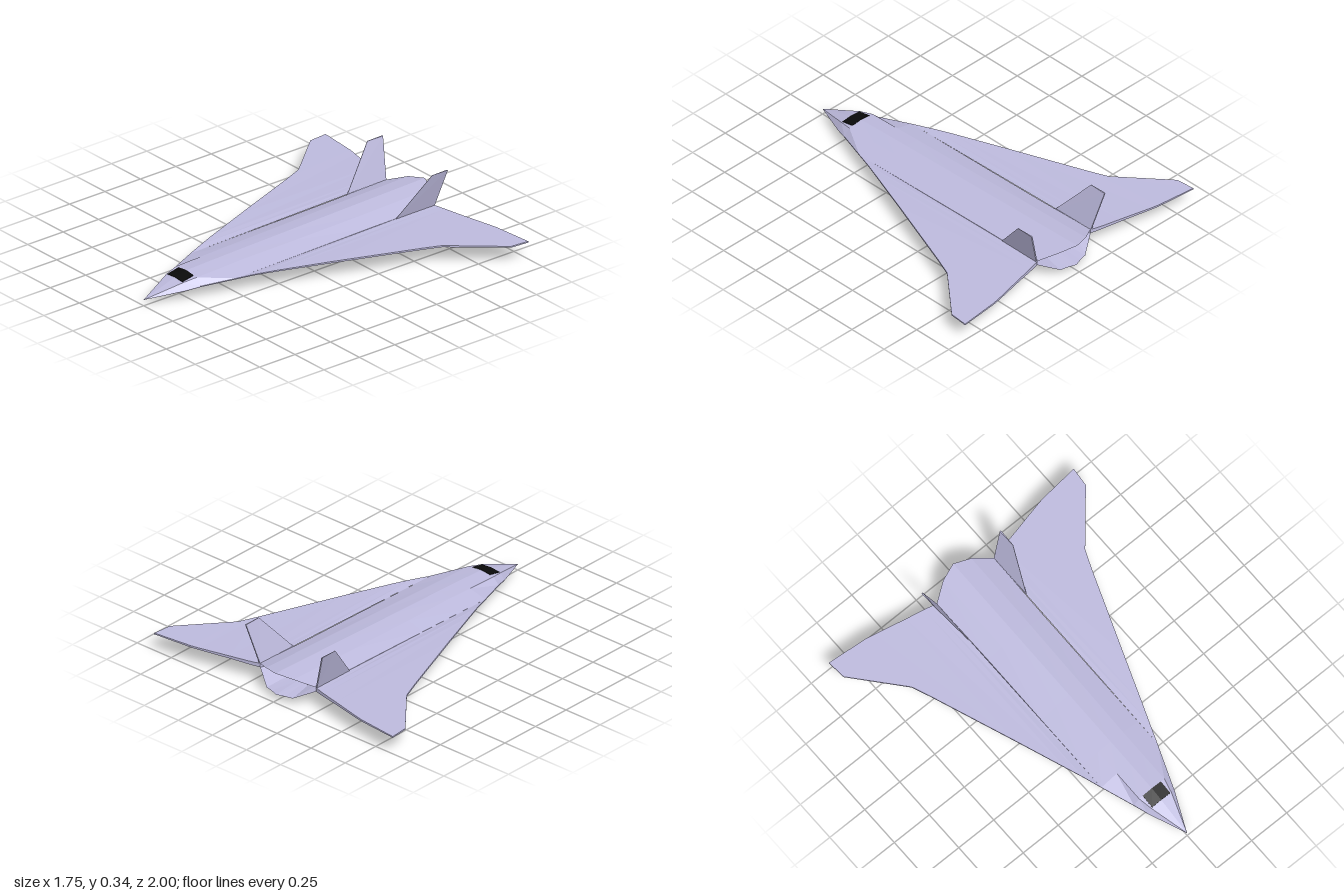
import * as THREE from 'three';

const paint = (color) => new THREE.MeshStandardMaterial({ color, flatShading: true });

// Skin a list of closed rings of [x, y, z]; rings run clockwise seen along the travel
function loft(rings, { capStart = false, capEnd = false } = {}) {
  const pos = [];
  const tri = (a, b, c) => pos.push(...a, ...b, ...c);
  const n = rings[0].length;
  for (let i = 0; i < rings.length - 1; i++) {
    for (let j = 0; j < n; j++) {
      const k = (j + 1) % n;
      const a = rings[i][j], b = rings[i][k], c = rings[i + 1][k], d = rings[i + 1][j];
      tri(a, b, c);
      tri(a, c, d);
    }
  }
  const first = rings[0], last = rings[rings.length - 1];
  for (let j = 1; j < n - 1; j++) {
    if (capStart) tri(first[0], first[j + 1], first[j]);
    if (capEnd) tri(last[0], last[j], last[j + 1]);
  }
  const geo = new THREE.BufferGeometry();
  geo.setAttribute('position', new THREE.Float32BufferAttribute(pos, 3));
  geo.computeVertexNormals();
  return geo;
}

// Mirror rings across x = 0, keeping the faces outward
const mirror = (rings) => rings.map((r) => r.map(([x, y, z]) => [-x, y, z]).reverse());

// Full ring from a half section that starts and ends on the centre line
const wholeRing = (half) => [...half, ...half.slice(1, -1).reverse().map(([x, y, z]) => [-x, y, z])];

export function createModel() {
  const model = new THREE.Group();
  const skin = paint(0xbcb9dc);
  const add = (name, geo, mat = skin) => {
    const mesh = new THREE.Mesh(geo, mat);
    mesh.name = name;
    model.add(mesh);
    return mesh;
  };

  // Half sections: ridge, shoulder, chine top, chine bottom, pod, groove, keel
  const stations = [
    [1.0, [[0, 0.036], [0, 0.036], [0, 0.035], [0, 0.035], [0, 0.035], [0, 0.035], [0, 0.035]]],
    [0.78, [[0, 0.106], [0.072, 0.1], [0.098, 0.064], [0.098, 0.059], [0.05, 0.034], [0.025, 0.021], [0, 0.008]]],
    [0.7, [[0, 0.124], [0.09, 0.114], [0.128, 0.076], [0.128, 0.07], [0.065, 0.036], [0.03, 0.018], [0, 0]]],
    [0.51, [[0, 0.131], [0.09, 0.12], [0.2, 0.092], [0.2, 0.086], [0.09, 0.056], [0.045, 0.03], [0, 0.004]]],
    [0.35, [[0, 0.136], [0.09, 0.126], [0.2, 0.095], [0.2, 0.087], [0.1, 0.07], [0.055, 0.038], [0, 0.008]]],
    [0, [[0, 0.145], [0.095, 0.132], [0.2, 0.101], [0.2, 0.088], [0.1, 0.048], [0.055, 0.045], [0, 0.014]]],
    [-0.45, [[0, 0.158], [0.1, 0.143], [0.2, 0.109], [0.2, 0.089], [0.095, 0.023], [0.05, 0.027], [0, 0.022]]],
  ];
  const halves = stations.map(([z, pts]) => pts.map(([x, y]) => [x, y, z]));
  // Scalloped tail edge
  halves.push([[0, 0.172, -0.985], [0.1, 0.156, -0.95], [0.205, 0.117, -0.88], [0.205, 0.092, -0.88],
    [0.095, 0.036, -0.95], [0.05, 0.036, -0.96], [0, 0.038, -0.98]]);
  const rings = halves.map(wholeRing);
  add('fuselage', loft(rings));

  // Exhaust recess and its glowing plate
  const tail = rings[rings.length - 1];
  const throat = tail.map(([x, y]) => [x * 0.8, 0.1 + (y - 0.1) * 0.75, -0.8]);
  add('exhaustDuct', loft([tail, throat], { capEnd: true }));
  add('exhaustGlow', new THREE.BoxGeometry(0.16, 0.035, 0.02), paint(0xd88a1c)).position.set(0, 0.1, -0.805);

  // Windscreen, a thin slab lying on the sloping roof
  const paneRing = ([z, pts], lift) => {
    const [[, top], [sx, side]] = pts;
    const edge = top + (side - top) * (0.065 / sx);
    const row = (dy) => [[-0.065, edge + dy, z], [0, top + dy, z], [0.065, edge + dy, z]];
    return [...row(lift), ...row(-0.004).reverse()];
  };
  add('windscreen', loft([paneRing(stations[1], 0.002), paneRing(stations[2], 0.002)],
    { capStart: true, capEnd: true }), paint(0x0a0a0a));

  // Wing ribs: x and z of leading edge, x and z of trailing edge, heights of both edges
  const ribs = [
    [0.2, 0.51, 0.205, -0.88, 0.092, 0.086, 0.117, 0.092],
    [0.24, 0.4, 0.24, -0.89, 0.1, 0.094, 0.115, 0.093],
    [0.28, 0.295, 0.28, -0.9, 0.104, 0.096, 0.114, 0.094],
    [0.39, 0, 0.39, -0.923, 0.108, 0.098, 0.112, 0.096],
    [0.575, -0.49, 0.575, -0.965, 0.109, 0.099, 0.11, 0.098],
    [0.62, -0.6, 0.63, -0.976, 0.109, 0.099, 0.11, 0.099],
    [0.865, -0.885, 0.875, -1, 0.108, 0.1, 0.108, 0.1],
  ].map(([xl, zl, xt, zt, lt, lb, tt, tb]) => [[xl, lt, zl], [xl, lb, zl], [xt, tb, zt], [xt, tt, zt]]);
  add('leftWing', loft(ribs, { capEnd: true }));
  add('rightWing', loft(mirror(ribs), { capEnd: true }));

  // Canted tail fins
  const finRing = (x, y, front, back) => [
    [x + 0.001, y, front], [x + 0.004, y, back], [x - 0.004, y, back], [x - 0.001, y, front],
  ];
  const fin = [finRing(0.206, 0.108, -0.605, -0.88), finRing(0.28, 0.345, -0.808, -0.916)];
  add('leftTailFin', loft(fin, { capStart: true, capEnd: true }));
  add('rightTailFin', loft(mirror(fin), { capStart: true, capEnd: true }));

  return model;
}
